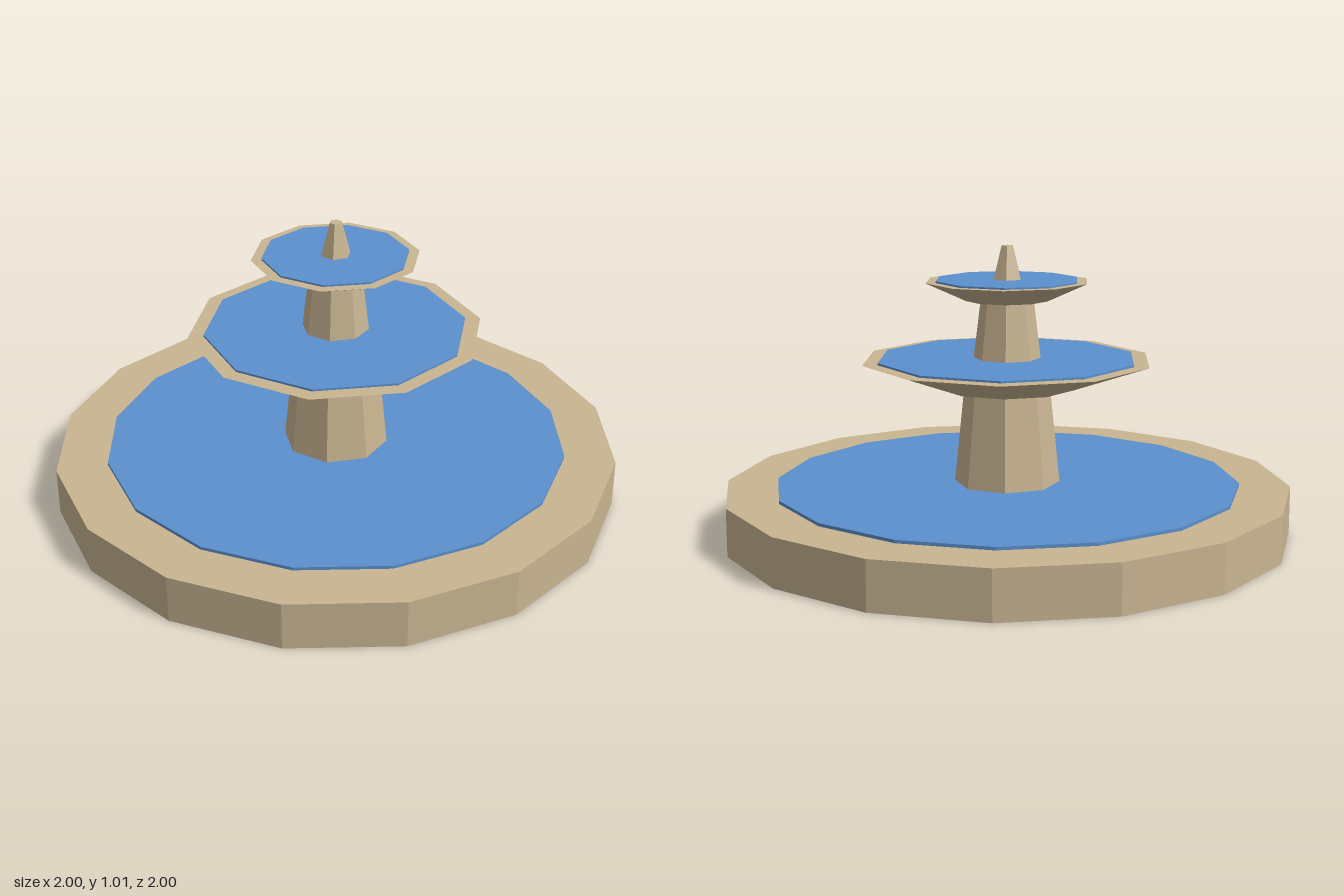
import * as THREE from 'three';

export function createModel() {
  const group = new THREE.Group();
  group.name = 'tieredFountain';

  const stone = new THREE.MeshStandardMaterial({ color: 0xc8b491 });
  stone.name = 'sandstone';
  const water = new THREE.MeshStandardMaterial({ color: 0x5b90cd });
  water.name = 'water';

  // Faceted frustum from y0 to y1, with one corner facing the front
  function tier(name, material, sides, rBottom, rTop, y0, y1) {
    const geometry = new THREE.CylinderGeometry(rTop, rBottom, y1 - y0, sides).toNonIndexed();
    geometry.computeVertexNormals();
    const mesh = new THREE.Mesh(geometry, material);
    mesh.name = name;
    mesh.position.y = (y0 + y1) / 2;
    group.add(mesh);
  }

  // Ground basin
  tier('basin', stone, 16, 1, 1, 0, 0.168);
  tier('basinWater', water, 16, 0.82, 0.82, 0.16, 0.179);

  // Lower column and wide bowl
  tier('lowerColumn', stone, 8, 0.187, 0.15, 0.165, 0.525);
  tier('lowerBowl', stone, 10, 0.245, 0.515, 0.521, 0.616);
  tier('lowerBowlWater', water, 10, 0.46, 0.46, 0.61, 0.623);

  // Upper column and small bowl
  tier('upperColumn', stone, 8, 0.118, 0.092, 0.615, 0.83);
  tier('upperBowl', stone, 10, 0.147, 0.29, 0.826, 0.892);
  tier('upperBowlWater', water, 10, 0.254, 0.254, 0.886, 0.898);

  // Finial
  tier('finial', stone, 6, 0.055, 0.022, 0.89, 1.015);

  return group;
}
